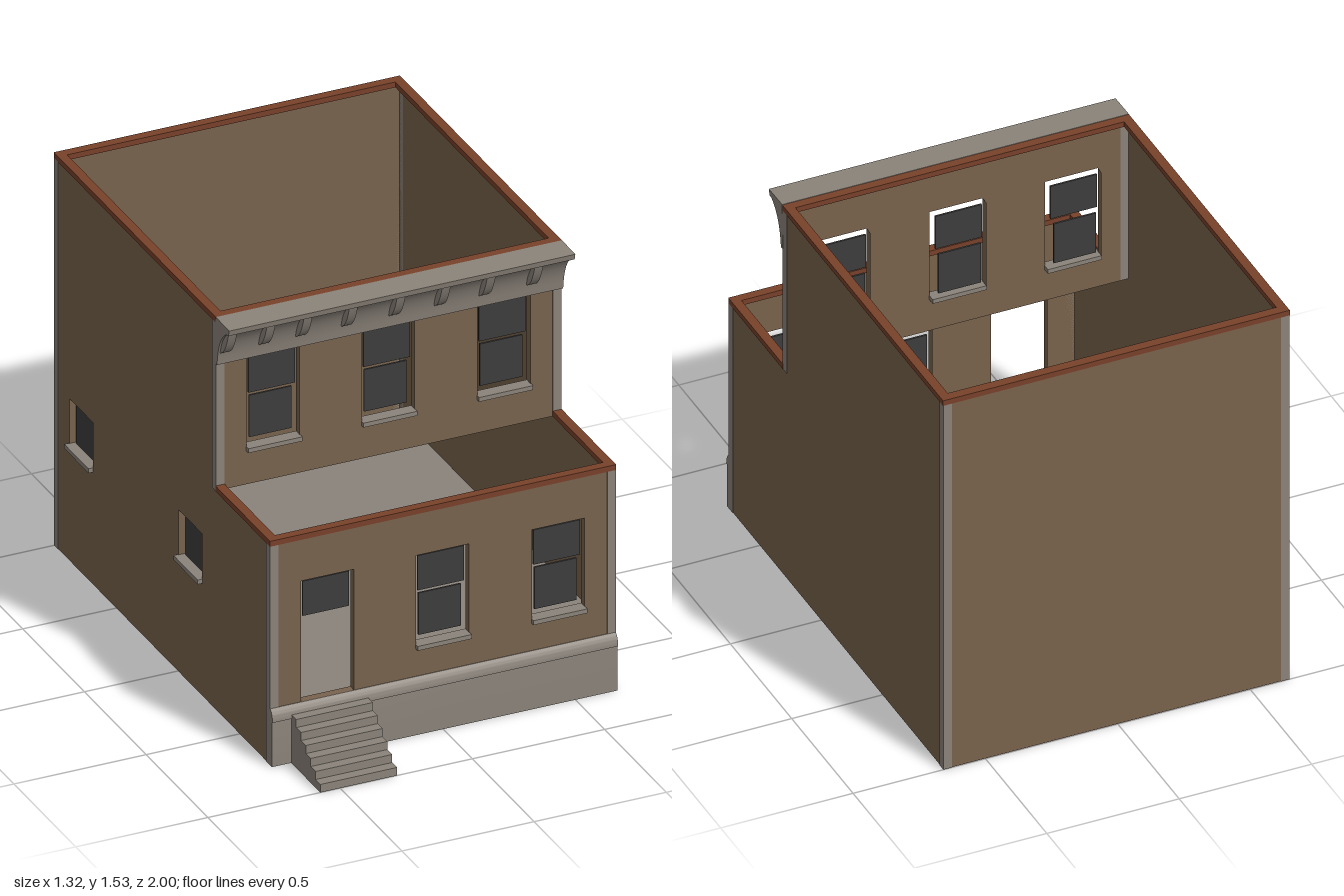
import * as THREE from 'three';
import { toCreasedNormals } from 'three/addons/utils/BufferGeometryUtils.js';

export function createModel() {
  const model = new THREE.Group();
  const mat = (name, color) => {
    const m = new THREE.MeshStandardMaterial({ color });
    m.name = name;
    return m;
  };
  const brick = mat('brown wall', 0x78634d);
  const reveal = brick.clone();
  brick.side = THREE.DoubleSide;
  const stone = mat('grey stone', 0x8b837a);
  const trim = mat('red brown coping', 0x78412a);
  const glass = mat('dark glass', 0x3d3d3d);

  const add = (name, geometry, material) => {
    const mesh = new THREE.Mesh(geometry, material);
    mesh.name = name;
    model.add(mesh);
    return mesh;
  };
  // Box given by its limits on each axis
  const boxGeometry = (x0, x1, y0, y1, z0, z1) =>
    new THREE.BoxGeometry(x1 - x0, y1 - y0, z1 - z0).translate((x0 + x1) / 2, (y0 + y1) / 2, (z0 + z1) / 2);
  const box = (name, material, ...limits) => add(name, boxGeometry(...limits), material);
  const poly = (points) => new THREE.Shape(points.map(([x, y]) => new THREE.Vector2(x, y)));
  const cut = (shape, x0, x1, y0, y1) =>
    shape.holes.push(new THREE.Path([[x0, y0], [x0, y1], [x1, y1], [x1, y0]].map(([x, y]) => new THREE.Vector2(x, y))));
  // Extrudes a (z, y) outline between x0 and x1
  const across = (name, shape, material, x0, x1) => {
    const g = new THREE.ExtrudeGeometry(shape, { depth: x1 - x0, bevelEnabled: false, curveSegments: 8 });
    g.rotateY(-Math.PI / 2);
    g.translate(x1, 0, 0);
    return add(name, toCreasedNormals(g, 0.5), material);
  };
  // Thin wall from an (x, y) outline, facing the front
  const frontSheet = (name, shape, z) => add(name, new THREE.ShapeGeometry(shape).translate(0, 0, z), brick);
  // Thin wall from a (z, y) outline, facing the side
  const sideSheet = (name, shape, x) =>
    add(name, new THREE.ShapeGeometry(shape).rotateY(-Math.PI / 2).translate(x, 0, 0), brick);
  // Four inward faces lining an opening, open along z
  const lining = (x0, x1, y0, y1, z0, z1) => {
    const g = boxGeometry(x0, x1, y0, y1, z0, z1);
    g.setIndex(Array.from(g.index.array).slice(0, 24).reverse());
    g.clearGroups();
    g.computeVertexNormals();
    return g;
  };

  const L = -0.646, R = 0.657, T = 0.03;     // wall planes and opening depth
  const LOW = 0.852, HIGH = 1.51;            // wall tops below the coping
  const FRONT = 0.748, STEP = 0.308, BACK = -0.998;
  const columns = [-0.43, 0.005, 0.4425];    // window centres

  // Side walls with a step down at the front
  const outline = [[BACK, 0], [FRONT, 0], [FRONT, LOW], [STEP, LOW], [STEP, HIGH], [BACK, HIGH]];
  sideSheet('leftWall', poly(outline), R);
  const windowed = poly(outline);
  for (const z of [-0.785, 0.1]) {
    cut(windowed, z - 0.095, z + 0.095, 0.45, 0.63);
    const g = lining(z - 0.095, z + 0.095, 0.45, 0.63, 0, T);
    add('sideWindowReveal', g.rotateY(-Math.PI / 2).translate(L + T, 0, 0), reveal);
    box('sideWindowPane', glass, L + 0.02, L + 0.028, 0.457, 0.618, z - 0.083, z + 0.083);
    box('sideWindowSill', stone, L - 0.018, L + T, 0.438, 0.455, z - 0.098, z + 0.098);
  }
  sideSheet('rightWall', windowed, L);

  // Back wall and raised floor
  frontSheet('backWall', poly([[L, 0], [R, 0], [R, HIGH], [L, HIGH]]), BACK);
  box('floor', stone, L + 0.002, R - 0.002, 0.205, 0.215, BACK + 0.002, FRONT - 0.002);

  // Front walls with openings
  const lower = poly([[L, 0.2], [-0.53, 0.2], [-0.53, 0.69], [-0.33, 0.69], [-0.33, 0.2],
    [R, 0.2], [R, LOW], [L, LOW]]);
  const upper = poly([[L, LOW], [R, LOW], [R, HIGH], [L, HIGH]]);

  // Two recessed panes and a sill in an opening
  const sashWindow = (shape, x, y, z) => {
    cut(shape, x - 0.1, x + 0.1, y, y + 0.362);
    add('windowReveal', lining(x - 0.1, x + 0.1, y, y + 0.362, z - T, z), reveal);
    box('upperSash', glass, x - 0.088, x + 0.088, y + 0.217, y + 0.352, z - 0.02, z - 0.013);
    box('lowerSash', glass, x - 0.08, x + 0.08, y + 0.037, y + 0.2, z - 0.03, z - 0.023);
    box('windowSill', stone, x - 0.102, x + 0.102, y, y + 0.017, z - T, z + 0.018);
  };
  columns.forEach((x, i) => {
    sashWindow(upper, x, 0.982, STEP);
    if (i > 0) sashWindow(lower, x, 0.328, FRONT);
  });
  frontSheet('lowerFrontWall', lower, FRONT);
  frontSheet('upperFrontWall', upper, STEP);
  add('doorReveal', lining(-0.53, -0.33, 0.22, 0.69, FRONT - T, FRONT), reveal);
  box('doorTransom', glass, -0.518, -0.342, 0.545, 0.68, FRONT - 0.02, FRONT - 0.013);

  // Grey corner strips wrapping each outer corner
  const corner = (name, y0, y1, z, inward) => {
    const p = 0.002, zs = [z, z + inward * T].sort((a, b) => a - b);
    const zp = [z, z - inward * p].sort((a, b) => a - b);
    for (const [x, s] of [[L, 1], [R, -1]]) {
      const face = [x - s * p, x + s * T].sort((a, b) => a - b);
      const edge = [x - s * p, x].sort((a, b) => a - b);
      box(name, stone, ...face, y0, y1, ...zp);
      box(name, stone, ...edge, y0, y1, ...zs);
    }
  };
  corner('backCornerStrip', 0, HIGH, BACK, 1);
  corner('upperCornerStrip', LOW, HIGH, STEP, -1);
  corner('lowerCornerStrip', 0, LOW, FRONT, -1);

  // Foundation with a sloped water table
  const base = poly([[FRONT, 0], [0.764, 0], [0.764, 0.172], [0.77, 0.175]]);
  base.quadraticCurveTo(0.768, 0.21, 0.75, 0.22);
  base.lineTo(FRONT, 0.22);
  across('foundation', base, stone, L - 0.002, R + 0.002);

  // Coping around both wall tops
  const coping = (y, z0, z1, closedBack) => {
    const w = 0.034, h = 0.021, o = 0.003;
    for (const x of [L - o, R + o - w]) box('sideCoping', trim, x, x + w, y, y + h, z0, z1);
    box('frontCoping', trim, L - o, R + o, y, y + h, z1 - w + o, z1 + o);
    if (closedBack) box('backCoping', trim, L - o, R + o, y, y + h, z0 - 0.002, z0 + w);
  };
  coping(HIGH, BACK, STEP, true);
  coping(LOW, STEP, FRONT, false);

  // Cornice with a cove and brackets
  const cove = poly([[STEP, 1.35], [0.322, 1.35]]);
  cove.quadraticCurveTo(0.332, 1.465, 0.398, 1.505);
  cove.lineTo(0.415, 1.508);
  cove.lineTo(0.42, 1.53);
  cove.lineTo(STEP + 0.004, 1.532);
  across('cornice', cove, stone, L - 0.003, R + 0.003);
  for (const x of [-0.625, -0.48, -0.34, -0.168, 0.012, 0.183, 0.353, 0.533]) {
    const bracket = poly([[0.32, 1.4], [0.335, 1.4]]);
    bracket.quadraticCurveTo(0.375, 1.42, 0.4, 1.506);
    bracket.lineTo(0.32, 1.506);
    across('corniceBracket', bracket, stone, x - 0.016, x + 0.016);
  }

  // Hollow front steps
  const X0 = -0.575, X1 = -0.285, N = 6, rise = 0.0315, run = 0.039, t = 0.006;
  const side = [[0.765, 0], [1, 0]];
  for (let i = 0; i < N; i++) {
    const z = 1 - i * run, y = (i + 1) * rise;
    side.push([z, y], [z - run, y]);
    box('stepTread', stone, X0 + t, X1 - t, y - t, y, z - run - t, z);
    box('stepRiser', stone, X0 + t, X1 - t, y - rise, y - t, z - t, z);
  }
  for (const x of [X0, X1 - t]) across('stairSide', poly(side), stone, x, x + t);

  return model;
}
